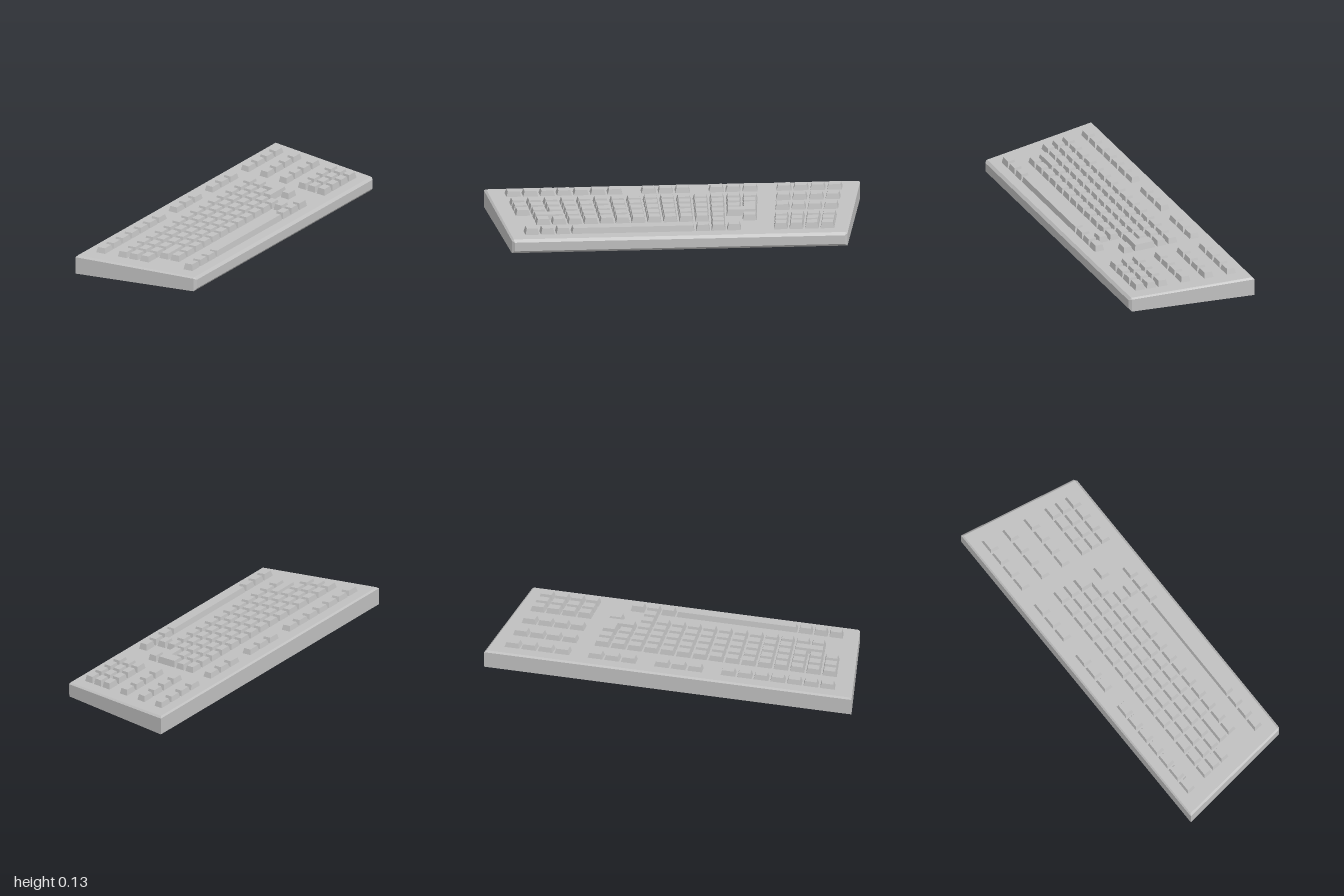
import * as THREE from 'three';
import { ConvexGeometry } from 'three/addons/geometries/ConvexGeometry.js';

const grey = new THREE.MeshStandardMaterial({ color: 0xc0c0c0 });
grey.name = 'light grey plastic';

// The deck slopes down towards +x, and the layout narrows with it
const deckY = (x) => 0.09 - 0.0362 * x;
const taper = (x) => 1 - 0.157 * (x + 0.342);
const slotZ = (n) => -0.872 + 0.0913 * n;

function hull(name, points) {
  const mesh = new THREE.Mesh(new ConvexGeometry(points.map((p) => new THREE.Vector3(...p))), grey);
  mesh.name = name;
  return mesh;
}

// Tapered key between two column positions and two slots
function makeKey(name, x0, x1, n0, n1, height) {
  const points = [];
  for (const [dx, dz, dy] of [[0.026, 0.041, -0.002], [0.02, 0.032, height]]) {
    for (const x of [x0 - dx, x1 + dx]) {
      for (const z of [slotZ(n0) - dz, slotZ(n1) + dz]) {
        points.push([x, deckY(x) + dy, z * taper(x)]);
      }
    }
  }
  return hull(name, points);
}

export function createModel() {
  const model = new THREE.Group();
  model.name = 'keyboard';

  // Wedge case with bevelled top edge and a raised front lip
  const casePoints = [];
  for (const s of [-1, 1]) {
    casePoints.push(
      [-0.342, 0, s], [0.329, 0, 0.892 * s],
      [-0.342, 0.093, s], [0.329, 0.071, 0.892 * s],
      [-0.334, 0.102, 0.988 * s], [0.329, 0.078, 0.882 * s],
      [0.342, 0.015, 0.877 * s], [0.342, 0.064, 0.877 * s],
    );
  }
  model.add(hull('case', casePoints));

  // Each row: position, key height, runs of single keys [first slot, last slot]
  const rows = [
    { name: 'functionKey', x: -0.253, h: 0.028, runs: [[0, 3], [5, 7], [9, 11], [13, 19]] },
    { name: 'numberKey', x: -0.129, h: 0.03, runs: [[0, 3], [5, 19]] },
    { name: 'upperLetterKey', x: -0.066, h: 0.03, runs: [[5, 19]] },
    { name: 'middleLetterKey', x: -0.002, h: 0.03, runs: [[0, 3], [6, 19]] },
    { name: 'lowerLetterKey', x: 0.061, h: 0.03, runs: [[7, 16]] },
    { name: 'shiftRowKey', x: 0.124, h: 0.031, runs: [[0, 3], [5, 5], [7, 18]] },
    { name: 'arrowKey', x: 0.186, h: 0.031, runs: [[0, 3], [7, 7]] },
    { name: 'bottomRowKey', x: 0.249, h: 0.033, runs: [[0, 3], [6, 8], [17, 19]] },
  ];
  for (const { name, x, h, runs } of rows) {
    const row = new THREE.Group();
    row.name = name + 'Row';
    for (const [first, last] of runs) {
      for (let n = first; n <= last; n++) row.add(makeKey(name, x, x, n, n, h));
    }
    model.add(row);
  }

  // Long keys
  model.add(makeKey('longKey', 0.061, 0.061, 17, 18, 0.03));
  model.add(makeKey('spaceBar', 0.249, 0.249, 9, 16, 0.031));

  // L-shaped return key
  const returnKey = new THREE.Group();
  returnKey.name = 'returnKey';
  returnKey.add(
    makeKey('returnKeyTop', -0.002, 0.061, 5, 5, 0.034),
    makeKey('returnKeyLeg', 0.061, 0.061, 5, 6, 0.034),
  );
  model.add(returnKey);

  return model;
}
